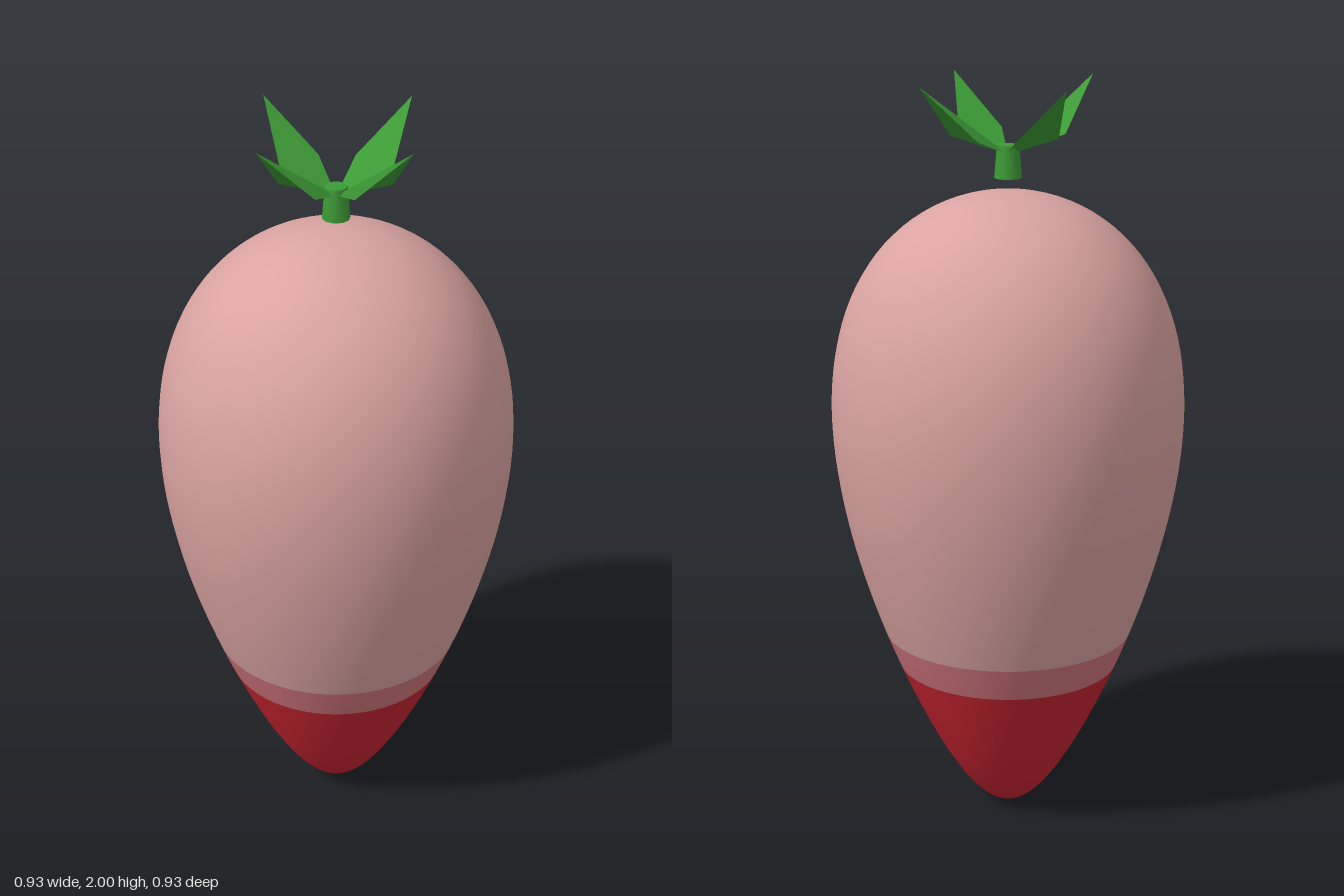
import * as THREE from 'three';

const skin = new THREE.MeshStandardMaterial({ color: 0xd9a3a0 });
skin.name = 'pale pink';
const blush = new THREE.MeshStandardMaterial({ color: 0xcc737a });
blush.name = 'rose';
const tipRed = new THREE.MeshStandardMaterial({ color: 0xc62330 });
tipRed.name = 'red';
const green = new THREE.MeshStandardMaterial({ color: 0x3c9a35 });
green.name = 'leaf green';
const leafGreen = new THREE.MeshStandardMaterial({ color: 0x3c9a35, side: THREE.DoubleSide });
leafGreen.name = 'leaf green two sided';

const HALF = 0.8565; // half the height of the bulb

// One band of the bulb: a sphere profile tapered towards the bottom
function bulbBand(name, y0, y1, steps, material) {
  const a0 = Math.acos(THREE.MathUtils.clamp(1 - y0 / HALF, -1, 1));
  const a1 = Math.acos(THREE.MathUtils.clamp(1 - y1 / HALF, -1, 1));
  const points = [];
  for (let i = 0; i <= steps; i++) {
    const a = a0 + (a1 - a0) * i / steps;
    const t = -Math.cos(a);
    const r = Math.max(0, Math.sin(a) * (0.436 + 0.178 * t));
    points.push(new THREE.Vector2(r, HALF * (1 + t) + 0.003));
  }
  const mesh = new THREE.Mesh(new THREE.LatheGeometry(points, 64), material);
  mesh.name = name;
  return mesh;
}

// Diamond leaf with a raised spine, shaded as one even surface
function leafGeometry() {
  const base = [0, 1.81, 0], tip = [0, 2, 0.264];
  const left = [-0.066, 1.86, 0.133], right = [0.066, 1.86, 0.133];
  const n = new THREE.Vector3(0, 0.264, -0.19).normalize();
  const geometry = new THREE.BufferGeometry();
  geometry.setAttribute('position', new THREE.Float32BufferAttribute([...base, ...tip, ...left, ...right], 3));
  geometry.setAttribute('normal', new THREE.Float32BufferAttribute([0, 1, 2, 3].flatMap(() => n.toArray()), 3));
  geometry.setIndex([0, 1, 3, 0, 2, 1]);
  return geometry;
}

export function createModel() {
  const model = new THREE.Group();
  model.name = 'root vegetable';

  // Bulb in three colour bands
  model.add(
    bulbBand('redTip', 0, 0.42, 16, tipRed),
    bulbBand('roseBand', 0.42, 0.515, 4, blush),
    bulbBand('paleBody', 0.515, 2 * HALF, 40, skin)
  );

  // Short stem hovering just above the bulb
  const stem = new THREE.Mesh(new THREE.CylinderGeometry(0.029, 0.036, 0.085, 10), green);
  stem.name = 'stem';
  stem.position.y = 1.7925;
  model.add(stem);

  // Four leaves around the stem
  const leaf = leafGeometry();
  for (let i = 0; i < 4; i++) {
    const mesh = new THREE.Mesh(leaf, leafGreen);
    mesh.name = 'leaf' + (i + 1);
    mesh.rotation.y = i * Math.PI / 2;
    model.add(mesh);
  }
  return model;
}
